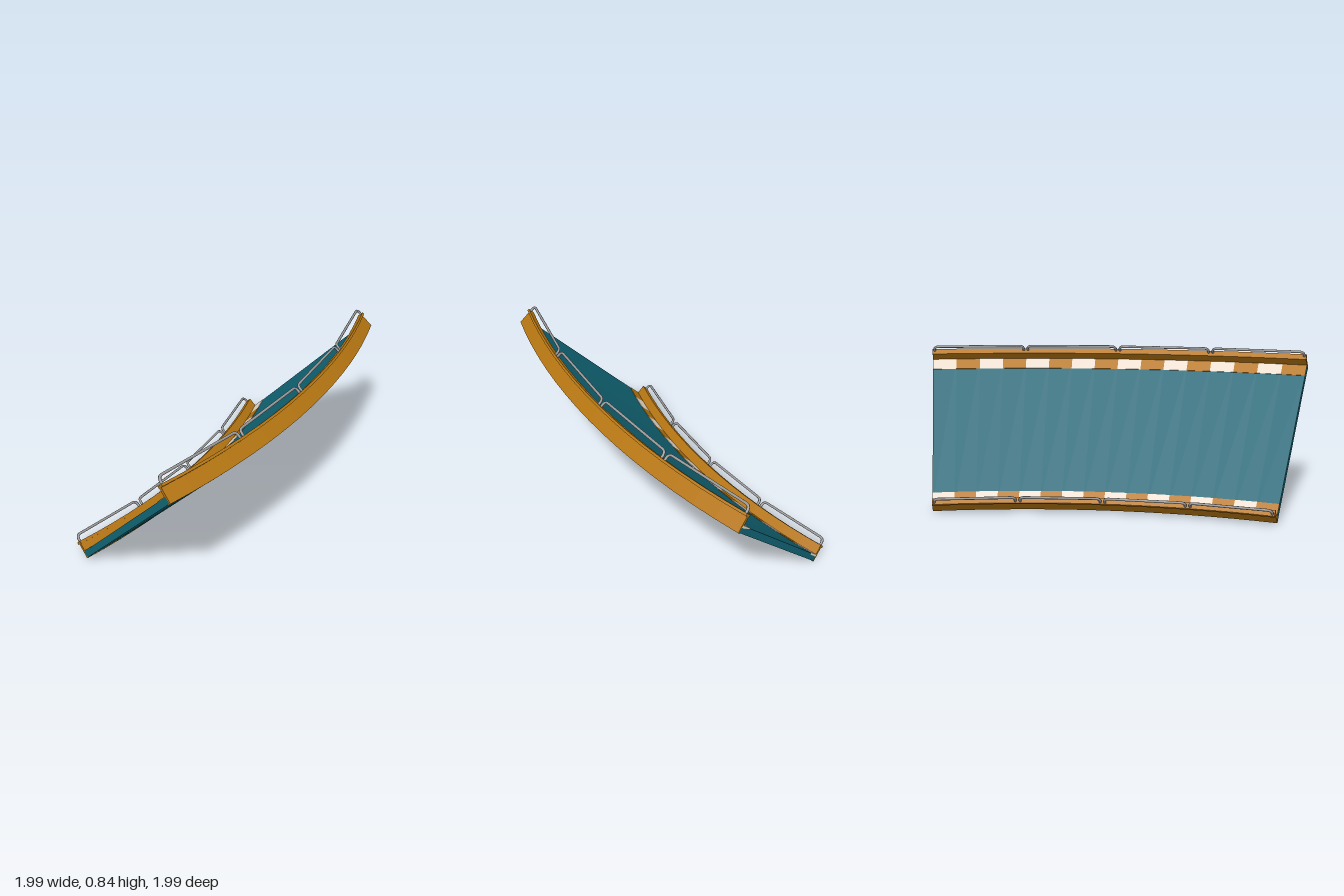
import * as THREE from 'three';

const CENTRE = -2.75;          // arc centre on both x and z
const INNER = 3.59;            // radius of the low edge
const WIDTH = 1.032;           // road width measured along the slope
const A0 = Math.PI / 6, A1 = Math.PI / 3;
const STEPS = 16;
const S = Math.SQRT1_2;        // 45 degree bank

const paint = (color) => new THREE.MeshStandardMaterial({ color, flatShading: true });
const teal = paint(0x116575);
const amber = paint(0xb67612);
const white = paint(0xeadccd);
const steel = new THREE.MeshStandardMaterial({ color: 0x999999 });

// u runs up the slope, v stands square to it; gives radius and height
const bank = (u, v) => [INNER + (u - v) * S, (u + v) * S];

function place(u, v, angle) {
  const [r, y] = bank(u, v);
  return new THREE.Vector3(CENTRE + r * Math.cos(angle), y, CENTRE + r * Math.sin(angle));
}

// Sweep a closed cross-section (counter-clockwise u, v points) round the arc
function sweep(points, from, to, steps) {
  const shape = new THREE.Shape(points.map(([u, v]) => new THREE.Vector2(...bank(u, v))));
  const geo = new THREE.ExtrudeGeometry(shape, { depth: to - from, steps, bevelEnabled: false });
  const p = geo.attributes.position;
  for (let i = 0; i < p.count; i++) {
    const r = p.getX(i), a = from + p.getZ(i);
    p.setXYZ(i, CENTRE + r * Math.cos(a), p.getY(i), CENTRE + r * Math.sin(a));
  }
  geo.computeVertexNormals();
  return geo;
}

const rect = (u0, u1, v0, v1) => [[u0, v0], [u1, v0], [u1, v1], [u0, v1]];

// One hoop of guard rail: leg, rounded corner, straight bar, corner, leg
function railGeometry(u, from, to) {
  const base = 0.095, top = 0.137, bend = 0.026;
  const start = place(u, top, from), end = place(u, top, to);
  const along = end.clone().sub(start).normalize().multiplyScalar(bend);
  const barStart = start.clone().add(along), barEnd = end.clone().sub(along);
  const legStart = place(u, top - bend, from), legEnd = place(u, top - bend, to);
  const path = new THREE.CurvePath();
  path.add(new THREE.LineCurve3(place(u, base, from), legStart));
  path.add(new THREE.QuadraticBezierCurve3(legStart, start, barStart));
  path.add(new THREE.LineCurve3(barStart, barEnd));
  path.add(new THREE.QuadraticBezierCurve3(barEnd, end, legEnd));
  path.add(new THREE.LineCurve3(legEnd, place(u, base, to)));
  return new THREE.TubeGeometry(path, 90, 0.0075, 8, false);
}

export function createModel() {
  const model = new THREE.Group();
  model.name = 'bankedRoadCurve';

  const add = (parent, name, geometry, material) => {
    const mesh = new THREE.Mesh(geometry, material);
    mesh.name = name;
    parent.add(mesh);
  };

  // Road slab
  add(model, 'roadSlab', sweep(rect(0.008, WIDTH - 0.008, 0.003, 0.04), A0, A1, STEPS), teal);

  for (const side of ['inner', 'outer']) {
    const group = new THREE.Group();
    group.name = side + 'Edge';
    model.add(group);

    // d is the distance inward from this edge of the road
    const at = (d) => (side === 'inner' ? d : WIDTH - d);
    const span = (d0, d1, v0, v1) =>
      rect(Math.min(at(d0), at(d1)), Math.max(at(d0), at(d1)), v0, v1);

    // Kerb wall with an overhanging cap
    add(group, 'kerbWall', sweep(span(0, 0.018, 0, 0.088), A0, A1, STEPS), amber);
    add(group, 'kerbCap', sweep(span(-0.015, 0.022, 0.086, 0.1), A0, A1, STEPS), amber);

    // Alternating painted stripes
    const step = (A1 - A0) / STEPS;
    for (let i = 0; i < STEPS; i++) {
      const a = A0 + i * step;
      add(group, 'stripe', sweep(span(0.01, 0.092, 0.03, 0.0425), a, a + step, 1),
        i % 2 ? amber : white);
    }

    // Four guard rail hoops
    const bay = (A1 - A0) / 4, gap = 0.0125 / (side === 'inner' ? 3.5 : 4.25);
    for (let i = 0; i < 4; i++) {
      const a = A0 + i * bay;
      add(group, 'guardRail', railGeometry(at(-0.003), a + gap, a + bay - gap), steel);
    }
  }
  return model;
}
